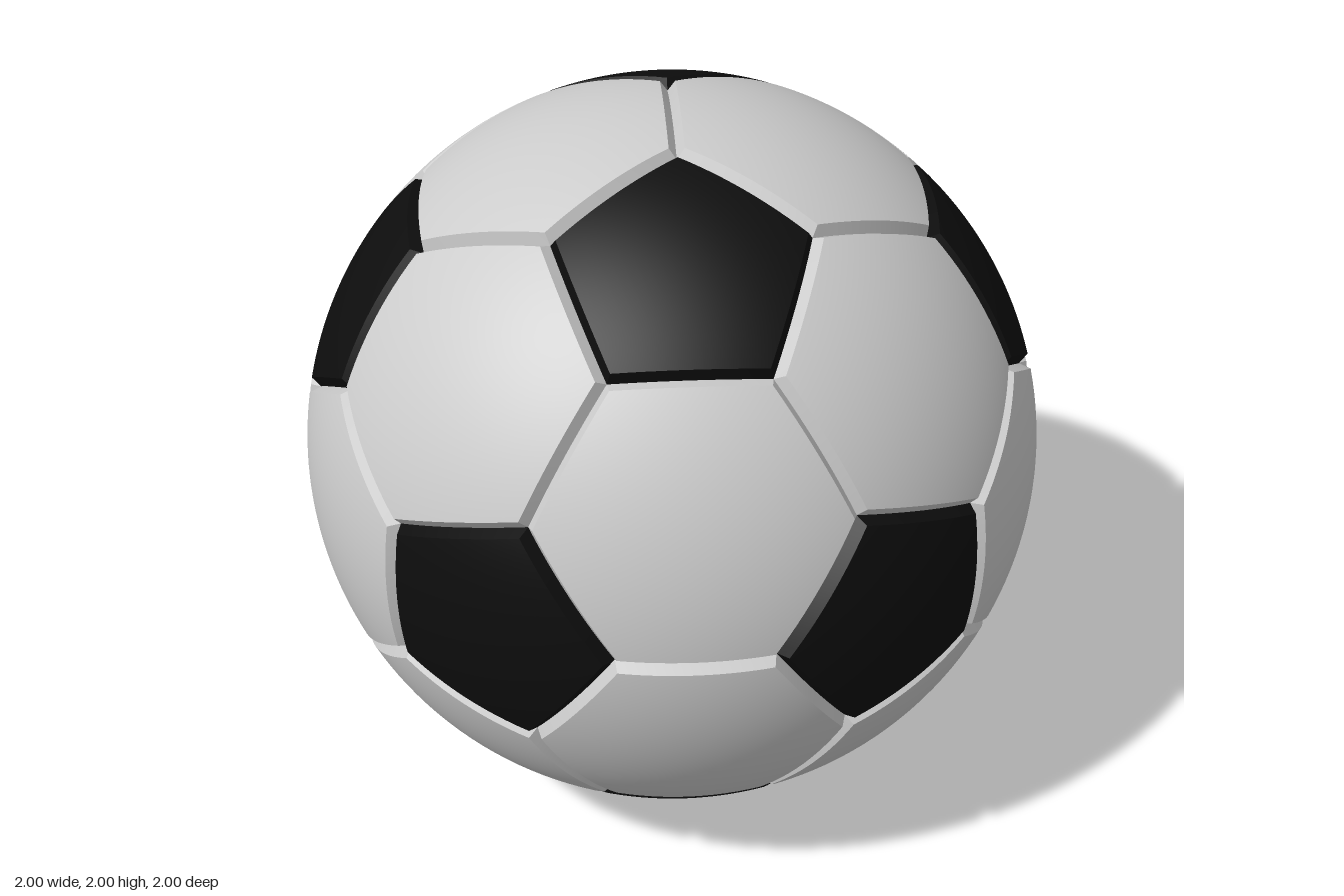
import * as THREE from 'three';
import { mergeGeometries } from 'three/addons/utils/BufferGeometryUtils.js';

const RADIUS = 1, GROOVE_RADIUS = 0.972, INSET = 0.021;
const EDGE_STEPS = 12, RINGS = 10;

// Strip of one panel sector: rings of [scale, radius] running along the edge a-b
function sector(centre, a, b, rings, spherical) {
  const pos = [], nor = [], index = [], row = EDGE_STEPS + 1;
  const p = new THREE.Vector3();
  rings.forEach(([scale, radius], j) => {
    for (let i = 0; i <= EDGE_STEPS; i++) {
      p.lerpVectors(a, b, i / EDGE_STEPS);
      p.lerpVectors(centre, p, scale).normalize();
      nor.push(p.x, p.y, p.z);
      pos.push(p.x * radius, p.y * radius, p.z * radius);
      if (j === 0 || i === EDGE_STEPS) continue;
      const k = (j - 1) * row + i, m = k + row;
      index.push(k, m, m + 1);
      if (rings[j - 1][0] > 0) index.push(k, m + 1, k + 1);
    }
  });
  const g = new THREE.BufferGeometry();
  g.setAttribute('position', new THREE.Float32BufferAttribute(pos, 3));
  g.setAttribute('normal', new THREE.Float32BufferAttribute(nor, 3));
  g.setIndex(index);
  if (!spherical) g.computeVertexNormals();
  return g;
}

// One curved panel with a bevelled rim that drops into the seam
function panel(corners) {
  const centre = new THREE.Vector3();
  corners.forEach(c => centre.add(c));
  centre.divideScalar(corners.length);
  const dir = centre.clone().normalize();

  // Order the corners counter-clockwise as seen from outside
  const ax = corners[0].clone().sub(centre).normalize();
  const ay = dir.clone().cross(ax);
  const angle = v => Math.atan2(v.dot(ay), v.dot(ax));
  const loop = [...corners].sort((u, v) => angle(u) - angle(v));

  const apothem = loop[0].clone().add(loop[1]).multiplyScalar(0.5).distanceTo(centre);
  const rim = 1 - INSET / apothem;
  const top = [];
  for (let j = 0; j <= RINGS; j++) top.push([rim * j / RINGS, RADIUS]);
  const bevel = [[rim, RADIUS], [1, GROOVE_RADIUS]];

  const parts = [];
  loop.forEach((a, i) => {
    const b = loop[(i + 1) % loop.length];
    parts.push(sector(centre, a, b, top, true), sector(centre, a, b, bevel, false));
  });
  return mergeGeometries(parts);
}

export function createModel() {
  const ball = new THREE.Group();
  ball.name = 'ball';
  const white = new THREE.MeshStandardMaterial({ color: 0xcccccc });
  const black = new THREE.MeshStandardMaterial({ color: 0x0d0d0d });

  // Icosahedron vertices: each becomes a pentagon, each triangle a hexagon
  const phi = (1 + Math.sqrt(5)) / 2, verts = [];
  for (const s of [-1, 1]) for (const t of [-1, 1]) {
    verts.push(
      new THREE.Vector3(s, 0, t * phi),
      new THREE.Vector3(s * phi, t, 0),
      new THREE.Vector3(0, s * phi, t));
  }
  const near = (a, b) => a !== b && a.distanceTo(b) < 2.1;
  const cut = (a, b) => a.clone().multiplyScalar(2).add(b).normalize();

  const add = (name, corners, material) => {
    const mesh = new THREE.Mesh(panel(corners), material);
    mesh.name = name;
    mesh.position.y = RADIUS;
    ball.add(mesh);
  };

  // Black pentagons
  verts.forEach(a => {
    add('pentagonPanel', verts.filter(b => near(a, b)).map(b => cut(a, b)), black);
  });

  // Light hexagons
  verts.forEach((a, i) => verts.forEach((b, j) => verts.forEach((c, k) => {
    if (i < j && j < k && near(a, b) && near(b, c) && near(a, c)) {
      add('hexagonPanel', [cut(a, b), cut(b, a), cut(b, c), cut(c, b), cut(c, a), cut(a, c)], white);
    }
  })));
  return ball;
}
